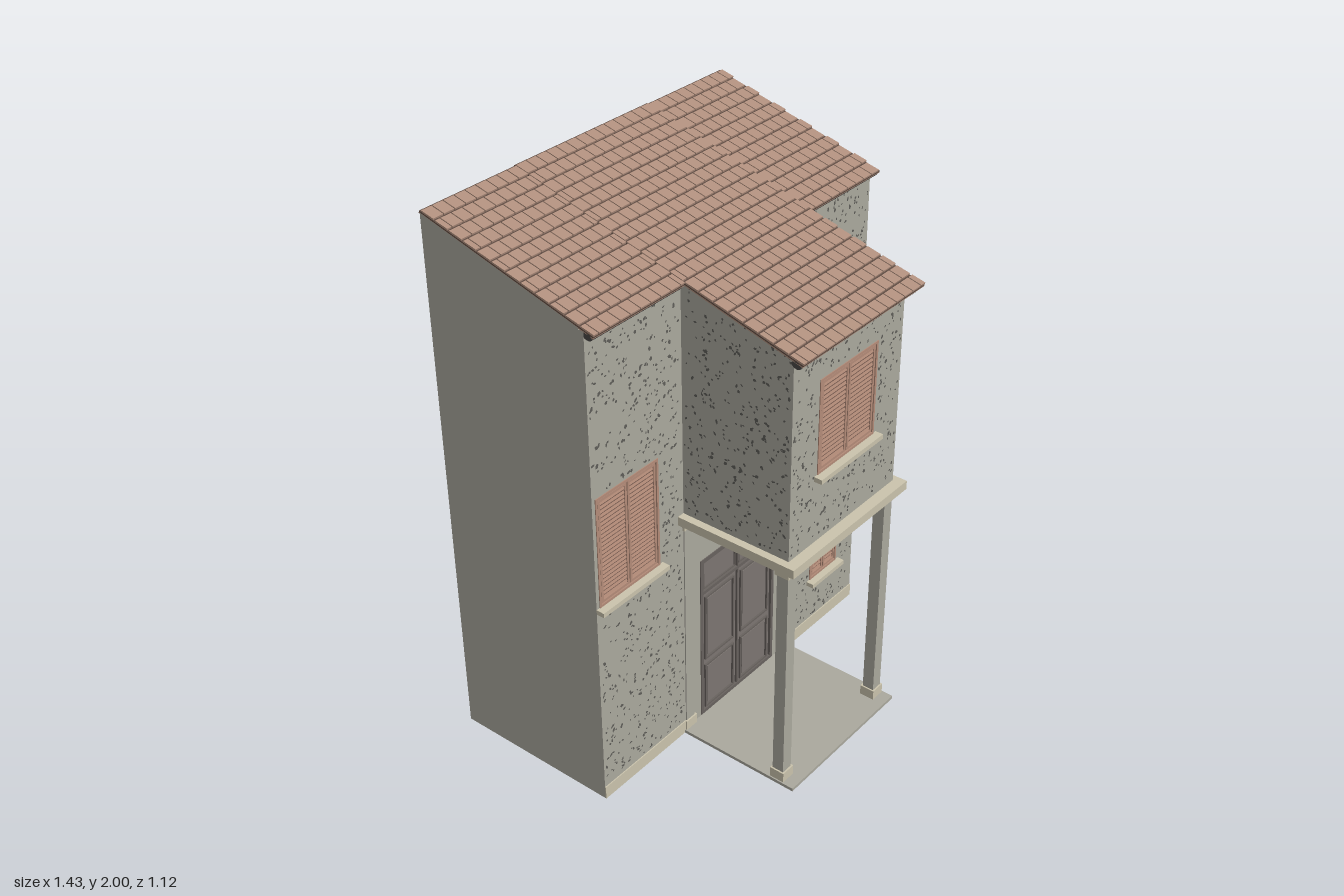
import * as THREE from 'three';
import { mergeGeometries } from 'three/addons/utils/BufferGeometryUtils.js';

const mat = (name, color) => new THREE.MeshStandardMaterial({ name, color });
const M = {
  wall: mat('wall plaster', 0xaaa89d),
  speckle: mat('plaster speckle', 0x5e5d58),
  trim: mat('cream stone', 0xcac3ac),
  door: mat('door wood', 0x7c7571),
  doorTrim: mat('door moulding', 0x68625e),
  shutter: mat('shutter wood', 0xb38b78),
  shutterGap: mat('shutter shadow', 0x765a4f),
  gap: mat('dark brown', 0x5c4940),
  tile: mat('roof tile', 0xb08f7d),
  gutter: mat('gutter metal', 0x4a4846),
};

const T = 0.02, FRONT = 0.08, BAY = 0.505, BACK = -0.56;
const XL = -0.715, XR = 0.715, BL = -0.285, BR = 0.297;
const SLOPE = 0.277, ANGLE = Math.atan(SLOPE);
const roofY = z => 2 - SLOPE * (z - BACK);
const wallTop = z => roofY(z) - 0.016;

// Openings: x range, y range, wall plane
const WINDOWS = [
  { name: 'bayWindow', x0: -0.148, x1: 0.158, y0: 1.197, y1: 1.54, z: BAY },
  { name: 'leftWindow', x0: -0.701, x1: -0.408, y0: 0.807, y1: 1.22, z: FRONT },
  { name: 'upperRightWindow', x0: 0.44, x1: 0.608, y0: 1.19, y1: 1.54, z: FRONT },
  { name: 'lowerRightWindow', x0: 0.44, x1: 0.608, y0: 0.232, y1: 0.645, z: FRONT },
];
const DOOR = { x0: -0.202, x1: 0.213, y0: 0.0151, y1: 0.695 };
const PORT = { z: 0.3, y: 1.385, r: 0.07 };

let seed = 7;
const rnd = () => (seed = (seed * 16807) % 2147483647) / 2147483647;

function add(parent, name, geo, material) {
  const m = new THREE.Mesh(geo, material);
  m.name = name;
  parent.add(m);
  return m;
}
function boxGeo(x0, x1, y0, y1, z0, z1) {
  return new THREE.BoxGeometry(x1 - x0, y1 - y0, z1 - z0).translate((x0 + x1) / 2, (y0 + y1) / 2, (z0 + z1) / 2);
}
const box = (p, name, m, ...r) => add(p, name, boxGeo(...r), m);

// Four bars around a rectangle
function frameGeo(x0, x1, y0, y1, z0, z1, w) {
  return mergeGeometries([
    boxGeo(x0, x0 + w, y0, y1, z0, z1), boxGeo(x1 - w, x1, y0, y1, z0, z1),
    boxGeo(x0 + w, x1 - w, y0, y0 + w, z0, z1), boxGeo(x0 + w, x1 - w, y1 - w, y1, z0, z1),
  ]);
}

const shapeOf = pts => new THREE.Shape(pts.map(p => new THREE.Vector2(...p)));
function wallGeo(pts, holes = []) {
  const s = shapeOf(pts);
  s.holes = holes;
  return new THREE.ExtrudeGeometry(s, { depth: T, bevelEnabled: false, curveSegments: 32 });
}
const rectHole = ({ x0, x1, y0, y1 }) => shapeOf([[x0, y0], [x0, y1], [x1, y1], [x1, y0]]);

// Small irregular flecks scattered over a u, v region facing +z
function speckles(u0, u1, v0, v1, blocked) {
  const out = [];
  const n = Math.round((u1 - u0) * (v1 - v0) * 1050);
  for (let i = 0; i < n; i++) {
    const u = u0 + 0.01 + rnd() * (u1 - u0 - 0.02), v = v0 + 0.01 + rnd() * (v1 - v0 - 0.02);
    const r = 0.0035 + 0.005 * rnd() * rnd(), k = 0.7 + rnd() * 0.8, a = rnd() * 6.28;
    if (blocked(u, v)) continue;
    out.push(new THREE.CircleGeometry(r, 5).scale(k, 1 / k, 1).rotateZ(a).translate(u, v, 0));
  }
  return mergeGeometries(out);
}
const inWindow = z => (x, y) => WINDOWS.some(w => w.z === z &&
  x > w.x0 - 0.01 && x < w.x1 + 0.01 && y > w.y0 - 0.02 && y < w.y1 + 0.01);

function shutterWindow({ name, x0, x1, y0, y1, z }) {
  const g = new THREE.Group();
  g.name = name;
  box(g, 'backPanel', M.door, x0, x1, y0, y1, z - 0.017, z - 0.012);
  box(g, 'shutterShadow', M.shutterGap, x0, x1, y0, y1, z - 0.012, z - 0.005);
  add(g, 'windowFrame', frameGeo(x0, x1, y0, y1, z - 0.006, z + 0.003, 0.009), M.shutter);
  const xm = (x0 + x1) / 2;
  for (const [a, b] of [[x0 + 0.012, xm - 0.002], [xm + 0.002, x1 - 0.012]]) {
    const parts = [frameGeo(a, b, y0 + 0.012, y1 - 0.012, z - 0.006, z + 0.001, 0.009)];
    const lo = y0 + 0.021, hi = y1 - 0.021, n = Math.round((hi - lo) / 0.0155);
    for (let i = 0; i < n; i++) {
      parts.push(new THREE.BoxGeometry(b - a - 0.018, 0.009, 0.002).rotateX(-0.3)
        .translate((a + b) / 2, lo + (i + 0.5) * (hi - lo) / n, z - 0.003));
    }
    add(g, 'louvredShutter', mergeGeometries(parts), M.shutter);
  }
  box(g, 'sill', M.trim, Math.max(x0 - 0.015, XL), x1 + 0.015, y0 - 0.017, y0, z, z + 0.03);
  return g;
}

function doubleDoor() {
  const g = new THREE.Group();
  g.name = 'frontDoor';
  const { x0, x1, y0, y1 } = DOOR, z = FRONT, xm = (x0 + x1) / 2;
  box(g, 'doorSlab', M.door, x0, x1, y0, y1, z - 0.018, z - 0.007);
  add(g, 'doorFrame', frameGeo(x0, x1, y0, y1, z - 0.008, z + 0.003, 0.014), M.doorTrim);
  box(g, 'transomBar', M.doorTrim, x0 + 0.014, x1 - 0.014, 0.545, 0.558, z - 0.008, z + 0.002);
  box(g, 'meetingStile', M.doorTrim, xm - 0.004, xm + 0.004, y0, y1, z - 0.008, z + 0.001);
  for (const [a, b] of [[x0 + 0.02, xm - 0.01], [xm + 0.01, x1 - 0.02]]) {
    add(g, 'transomMoulding', frameGeo(a, b, 0.563, 0.677, z - 0.008, z - 0.002, 0.005), M.doorTrim);
    for (const [c, d] of [[0.25, 0.525], [0.032, 0.225]]) {
      add(g, 'panelMoulding', frameGeo(a + 0.008, b - 0.008, c, d, z - 0.008, z, 0.007), M.doorTrim);
      box(g, 'raisedPanel', M.door, a + 0.022, b - 0.022, c + 0.014, d - 0.014, z - 0.008, z - 0.003);
    }
  }
  return g;
}

// Sloped slab with staggered rows of tiles; local z runs down the slope
function roofSection(name, x0, x1, zEnd, lift) {
  const g = new THREE.Group();
  g.name = name;
  const len = (zEnd - BACK) / Math.cos(ANGLE), rows = Math.round((zEnd - BACK) / 0.056);
  const step = len / rows, pitch = 0.0455, tiles = [];
  box(g, 'roofDeck', M.gap, x0, x1, -0.012, -0.008, 0, len);
  box(g, 'roofUnderside', M.tile, x0, x1, -0.016, -0.012, 0, len);
  for (let r = 0; r < rows; r++) {
    for (let x = x0 - (r % 2) * pitch * 0.5; x < x1; x += pitch) {
      const a = Math.max(x, x0), b = Math.min(x + pitch - 0.004, x1);
      if (b - a < 0.006) continue;
      tiles.push(new THREE.BoxGeometry(b - a, 0.006, step - 0.008).rotateX(-0.03)
        .translate((a + b) / 2, -0.0045, (r + 0.5) * step + 0.004));
    }
  }
  add(g, 'tiles', mergeGeometries(tiles), M.tile);
  g.rotation.x = ANGLE;
  g.position.set(0, 2 + lift, BACK);
  // Eaves gutter
  const gutter = add(g, 'gutter', new THREE.CylinderGeometry(0.012, 0.012, x1 - x0, 12).rotateZ(Math.PI / 2), M.gutter);
  gutter.scale.z = 1.5;
  gutter.position.set((x0 + x1) / 2, -0.022, len - 0.022);
  return g;
}

export function createModel() {
  const house = new THREE.Group();
  house.name = 'house';

  // Main walls, open at the back and notched where the bay room joins
  const top = wallTop(FRONT);
  add(house, 'frontWall', wallGeo(
    [[XL, 0], [XR, 0], [XR, top], [BR, top], [BR, 0.9], [BL, 0.9], [BL, top], [XL, top]],
    [...WINDOWS.filter(w => w.z === FRONT), DOOR].map(rectHole)).translate(0, 0, FRONT - T), M.wall);
  const side = wallGeo([[BACK, 0], [FRONT - T, 0], [FRONT - T, wallTop(FRONT - T)], [BACK, wallTop(BACK)]]).rotateY(-Math.PI / 2);
  add(house, 'leftSideWall', side, M.wall).position.x = XR;
  add(house, 'rightSideWall', side, M.wall).position.x = XL + T;
  for (const [a, b] of [[XL, BL], [BR, XR]]) {
    box(house, 'baseboard', M.trim, a, b, 0, 0.05, FRONT, FRONT + 0.004);
    add(house, 'wallSpeckles', speckles(a, b, 0.05, top, inWindow(FRONT)).translate(0, 0, FRONT + 0.001), M.speckle);
  }

  // Projecting bay room
  const bay = new THREE.Group();
  bay.name = 'bayRoom';
  house.add(bay);
  const bt = wallTop(BAY);
  add(bay, 'bayFrontWall', wallGeo([[BL, 0.94], [BR, 0.94], [BR, bt], [BL, bt]], [rectHole(WINDOWS[0])])
    .translate(0, 0, BAY - T), M.wall);
  add(bay, 'baySpeckles', speckles(BL, BR, 0.945, bt, inWindow(BAY)).translate(0, 0, BAY + 0.001), M.speckle);
  for (const s of [1, -1]) {
    const x = s > 0 ? BR : BL;
    const holes = s > 0 ? [new THREE.Path().absarc(PORT.z, PORT.y, PORT.r, 0, Math.PI * 2, true)] : [];
    const outline = [[FRONT, 0.94], [BAY - T, 0.94], [BAY - T, wallTop(BAY - T)], [FRONT, wallTop(FRONT)]];
    add(bay, 'baySideWall', wallGeo(outline, holes).rotateY(-Math.PI / 2), M.wall).position.x = s > 0 ? BR : BL + T;
    const dots = speckles(s > 0 ? -BAY : FRONT, s > 0 ? -FRONT : BAY, 0.945, 1.82, (u, v) =>
      v > wallTop(s * -u) - 0.01 || (s > 0 && Math.hypot(u + PORT.z, v - PORT.y) < PORT.r + 0.015));
    add(bay, 'baySideSpeckles', dots.rotateY(s * Math.PI / 2).translate(x + s * 0.001, 0, 0), M.speckle);
  }

  // Round window on the left side of the bay
  const ringShape = new THREE.Shape().absarc(0, 0, PORT.r + 0.008, 0, Math.PI * 2, false);
  ringShape.holes.push(new THREE.Path().absarc(0, 0, PORT.r - 0.001, 0, Math.PI * 2, true));
  const round = new THREE.Group();
  round.name = 'roundWindow';
  add(round, 'ring', new THREE.ExtrudeGeometry(ringShape, { depth: 0.016, bevelEnabled: false, curveSegments: 32 }), M.trim)
    .position.z = -0.013;
  add(round, 'pane', new THREE.CylinderGeometry(PORT.r, PORT.r, 0.004, 32).rotateX(Math.PI / 2), M.door).position.z = -0.014;
  round.rotation.y = Math.PI / 2;
  round.position.set(BR, PORT.y, PORT.z);
  bay.add(round);

  box(bay, 'bayFloor', M.trim, -0.313, 0.322, 0.908, 0.941, FRONT, 0.545);
  box(bay, 'bayFloorMoulding', M.trim, -0.298, 0.308, 0.896, 0.908, FRONT, 0.53);

  // Porch slab, columns and matching wall pilasters
  box(house, 'porchSlab', M.wall, -0.297, 0.309, 0, 0.012, FRONT, 0.555);
  for (const x of [-0.264, 0.276]) {
    for (const [name, z0, z1] of [['column', 0.462, 0.506], ['pilaster', FRONT, FRONT + 0.004]]) {
      const back = z0 > FRONT ? 0.006 : 0;
      box(house, name, M.wall, x - 0.022, x + 0.022, 0.012, 0.9, z0, z1);
      box(house, name + 'Base', M.trim, x - 0.028, x + 0.028, 0.012, 0.05, z0 - back, z1 + 0.006);
      box(house, name + 'Capital', M.trim, x - 0.028, x + 0.028, 0.875, 0.9, z0 - back, z1 + 0.006);
    }
  }

  house.add(doubleDoor(), ...WINDOWS.map(shutterWindow));
  house.add(roofSection('rightRoof', XL, -0.312, 0.12, -0.002), roofSection('leftRoof', 0.324, XR, 0.12, -0.002),
    roofSection('centreRoof', -0.312, 0.324, 0.56, 0.001));
  return house;
}
